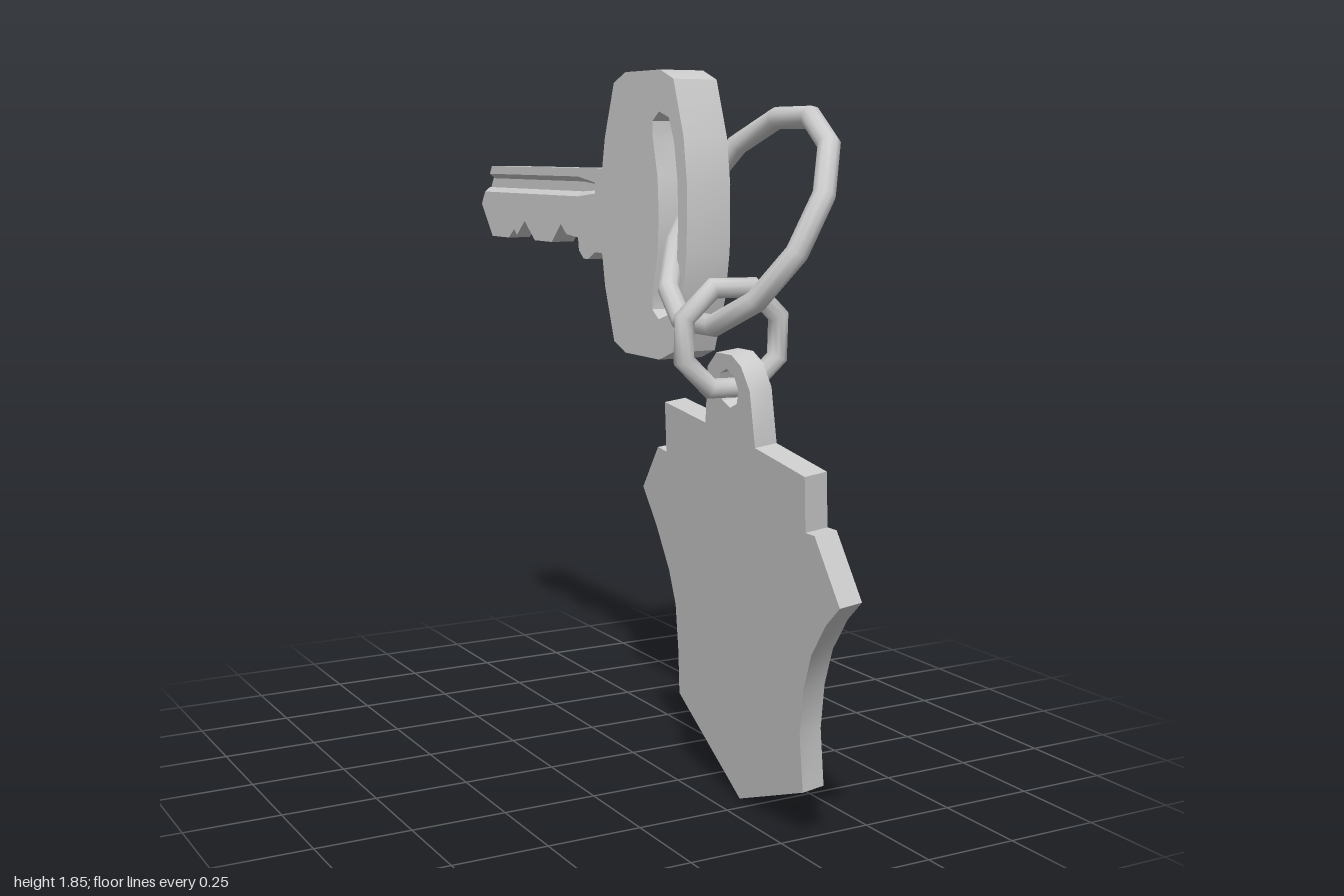
import * as THREE from 'three';
import { toCreasedNormals } from 'three/addons/utils/BufferGeometryUtils.js';

const CREASE = 0.56;

export function createModel() {
  const model = new THREE.Group();
  const material = new THREE.MeshStandardMaterial({ color: 0xcccccc });

  const add = (name, geometry, parent = model) => {
    const mesh = new THREE.Mesh(geometry, material);
    mesh.name = name;
    parent.add(mesh);
    return mesh;
  };
  const toVectors = (pts) => pts.map(([z, y]) => new THREE.Vector2(z, y));

  // Flat plate: outline given as [z, y], thickness centred on x
  const plate = (outline, thickness, x = 0, holes = []) => {
    const shape = new THREE.Shape(toVectors(outline));
    holes.forEach((h) => shape.holes.push(h));
    return new THREE.ExtrudeGeometry(shape, { depth: thickness, bevelEnabled: false, curveSegments: 4 })
      .translate(0, 0, -thickness / 2)
      .rotateY(-Math.PI / 2)
      .translate(x, 0, 0);
  };

  // Key, mirrored top to bottom about midY where symmetric
  const key = new THREE.Group();
  key.name = 'key';
  model.add(key);
  const keyX = 0.037, midY = 1.487;
  const mirrorY = (half) => [
    ...half.map(([z, dy]) => [z, midY + dy]),
    ...half.slice().reverse().map(([z, dy]) => [z, midY - dy]),
  ];

  // Bow with a curved slot
  const bowOutline = mirrorY([
    [0.328, 0.083], [0.31, 0.2], [0.258, 0.342], [0.19, 0.367],
    [0.005, 0.367], [-0.06, 0.342], [-0.112, 0.2], [-0.135, 0.083],
  ].reverse());
  const slot = new THREE.Path(toVectors([
    ...[[0.285, 0], [0.28, 0.095], [0.262, 0.19], [0.235, 0.248], [0.185, 0.263], [0.152, 0.24],
      [0.152, 0.2], [0.178, 0.1], [0.185, 0]].map(([z, dy]) => [z, midY + dy]),
    ...[[0.178, 0.1], [0.152, 0.2], [0.152, 0.24], [0.185, 0.263], [0.235, 0.248],
      [0.262, 0.19], [0.28, 0.095]].map(([z, dy]) => [z, midY - dy]),
  ]));
  add('bow', toCreasedNormals(plate(bowOutline, 0.125, keyX, [slot]), CREASE), key);

  // Blade: a core between two side layers, each cut by a groove open at the tip
  const teeth = [
    [-1, 1.487], [-0.92, 1.39], [-0.8, 1.39], [-0.76, 1.417], [-0.74, 1.4], [-0.685, 1.444],
    [-0.615, 1.39], [-0.5, 1.39], [-0.44, 1.444], [-0.405, 1.417], [-0.33, 1.41], [-0.325, 1.375],
    [-0.295, 1.353], [-0.267, 1.353], [-0.225, 1.374], [-0.1, 1.374],
  ];
  const bladeTop = [[-0.1, 1.604], [-0.92, 1.604]];
  const groove = [
    [-0.936, 1.58], [-0.33, 1.58], [-0.225, 1.565], [-0.225, 1.535], [-0.33, 1.525], [-0.974, 1.525],
  ];
  add('bladeCore', plate([...bladeTop, ...teeth], 0.036, keyX), key);
  for (const side of [1, -1]) {
    const layer = plate([...bladeTop, ...groove, ...teeth], 0.017, keyX + side * 0.0265);
    // Slope the groove walls: narrower where the layer meets the core
    const p = layer.attributes.position;
    for (let i = 0; i < p.count; i++) {
      const y = p.getY(i);
      const inner = (p.getX(i) - keyX) * side < 0.0265;
      if (inner && y > 1.51 && y < 1.59) p.setY(i, 1.5525 + (y - 1.5525) * 0.5);
    }
    layer.computeVertexNormals();
    add(side > 0 ? 'bladeLeftLayer' : 'bladeRightLayer', layer, key);
  }

  // Large split ring, leaning through the slot
  const largeRing = add('largeRing', new THREE.TorusGeometry(0.288, 0.028, 10, 12)
    .rotateZ(Math.PI / 12).rotateY(Math.PI / 2).rotateZ(-0.503));
  largeRing.position.set(0.04, 1.488, 0.5);

  // Small link joining ring and tag
  const smallRing = add('smallRing', new THREE.TorusGeometry(0.129, 0.026, 10, 8)
    .rotateZ(Math.PI / 8).rotateX(0.05).rotateY(-0.157));
  smallRing.position.set(-0.057, 1.215, 0.595);

  // Tag: shield plate with a holed tab on top
  const tagOutline = [
    [0.69, 0.965], [0.69, 1.1], [0.66, 1.155], [0.62, 1.178], [0.55, 1.178], [0.5, 1.14], [0.46, 0.995],
    [0.255, 1.02], [0.235, 0.888], [0.19, 0.893], [0.08, 0.77], [0.135, 0.67], [0.18, 0.56],
    [0.197, 0.47], [0.185, 0.34], [0.165, 0.215], [0.445, 0.007], [0.765, 0.13], [0.775, 0.28],
    [0.81, 0.4], [0.86, 0.5], [0.935, 0.59], [1, 0.645], [0.92, 0.797], [0.882, 0.797], [0.9, 0.93],
  ];
  const hole = new THREE.Path().absarc(0.59, 1.095, 0.047, 0, Math.PI * 2, true);
  const tag = plate(tagOutline, 0.06, 0, [hole]);
  // Lean the plate so its lower end swings towards +x
  tag.applyMatrix4(new THREE.Matrix4().set(
    1, -0.119, -0.02, 0.111,
    0.119, 1, 0, 0.003,
    0, 0, 1, 0,
    0, 0, 0, 1,
  ));
  add('tag', toCreasedNormals(tag, CREASE));

  return model;
}
